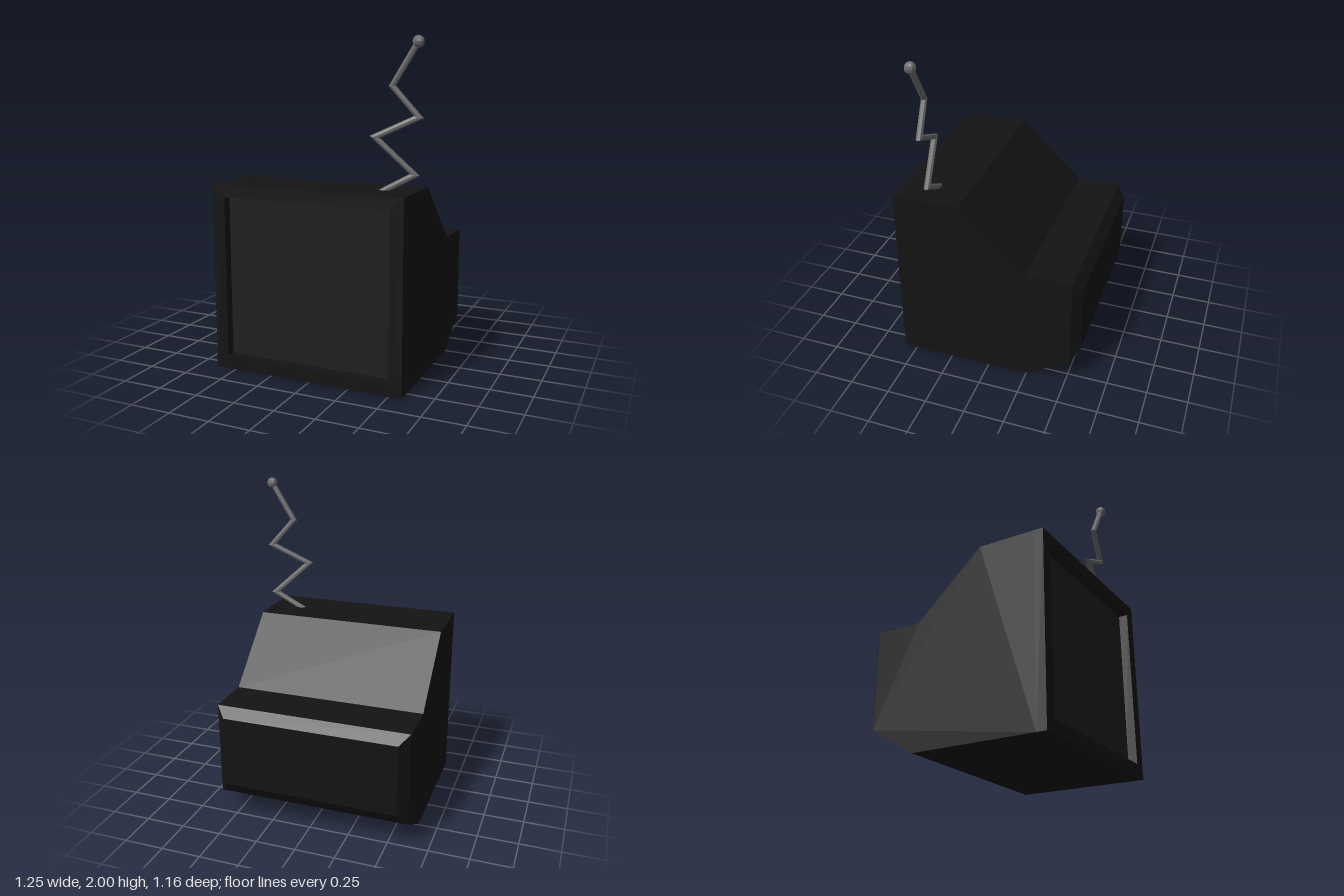
import * as THREE from 'three';

const X0 = -0.63, X1 = 0.58, WIDTH = X1 - X0, MID = (X0 + X1) / 2;
const TOP = 1.14, FRONT = 0.58, RECESS = 0.06;
const material = (color) => new THREE.MeshStandardMaterial({ color, flatShading: true });
const shapeOf = (pts) => new THREE.Shape(pts.map(([x, y]) => new THREE.Vector2(x, y)));

function addMesh(group, name, geometry, mat) {
  const mesh = new THREE.Mesh(geometry, mat);
  mesh.name = name;
  group.add(mesh);
  return mesh;
}

// Bent rod lying close to the xy plane, with mitred joints
function bentRod(points, radius, sides) {
  const normals = points.slice(1).map((p, i) =>
    new THREE.Vector2(points[i].y - p.y, p.x - points[i].x).normalize());
  const pos = [], index = [];
  points.forEach((p, i) => {
    const a = normals[Math.max(i - 1, 0)], b = normals[Math.min(i, normals.length - 1)];
    const m = a.clone().add(b).normalize();
    m.multiplyScalar(radius / m.dot(a));
    for (let k = 0; k < sides; k++) {
      const t = (k / sides) * Math.PI * 2, c = Math.cos(t);
      pos.push(p.x + m.x * c, p.y + m.y * c, p.z + radius * Math.sin(t));
      if (i === 0) continue;
      const n = (k + 1) % sides, lo = (i - 1) * sides, hi = i * sides;
      index.push(lo + k, hi + k, lo + n, lo + n, hi + k, hi + n);
    }
  });
  const g = new THREE.BufferGeometry();
  g.setAttribute('position', new THREE.Float32BufferAttribute(pos, 3));
  g.setIndex(index);
  g.computeVertexNormals();
  return g;
}

export function createModel() {
  const model = new THREE.Group();
  model.name = 'television';
  const casing = material(0x131313);
  const glass = material(0x1d1d1d);
  const metal = material(0x6a6a6a);
  metal.side = THREE.DoubleSide;

  // Casing: side profile (z, y) extruded across the width
  const face = FRONT - RECESS;
  const profile = shapeOf([
    [face, 0], [face, TOP], [0.17, TOP], [-0.24, 0.76],
    [-0.525, 0.76], [-0.525, 0.17], [-0.24, 0],
  ]);
  const body = new THREE.ExtrudeGeometry(profile, { depth: WIDTH, bevelEnabled: false });
  body.rotateY(-Math.PI / 2).translate(X1, 0, 0);
  addMesh(model, 'casing', body, casing);

  // Bevelled back panel: a box whose rear face is drawn in
  const back = new THREE.BoxGeometry(WIDTH, 0.59, 0.055);
  const p = back.attributes.position;
  for (let i = 0; i < p.count; i++) {
    if (p.getZ(i) > 0) continue;
    p.setX(i, p.getX(i) - Math.sign(p.getX(i)) * 0.06);
    p.setY(i, p.getY(i) + (p.getY(i) > 0 ? -0.06 : 0.08));
  }
  back.translate(MID, 0.465, -0.5525);
  back.computeVertexNormals();
  addMesh(model, 'backPanel', back, casing);

  // Front frame with an opening for the screen
  const frame = shapeOf([[X0, 0], [X1, 0], [X1, TOP], [X0, TOP]]);
  frame.holes.push(new THREE.Path(
    [[-0.55, 0.08], [-0.55, 1.065], [0.5, 1.065], [0.5, 0.08]].map(([x, y]) => new THREE.Vector2(x, y))));
  const frameGeo = new THREE.ExtrudeGeometry(frame, { depth: RECESS, bevelEnabled: false });
  frameGeo.translate(0, 0, face);
  addMesh(model, 'screenFrame', frameGeo, casing);

  // Recessed screen
  const screen = addMesh(model, 'screen', new THREE.PlaneGeometry(1.05, 0.985), glass);
  screen.position.set(MID, 0.5725, face + 0.004);

  // Crooked antenna with a ball on the tip
  const path = [
    [0.36, 1.125, 0.37], [0.562, 1.235, 0.357], [0.337, 1.443, 0.4],
    [0.587, 1.558, 0.373], [0.44, 1.727, 0.4], [0.587, 1.965, 0.397],
  ].map((q) => new THREE.Vector3(...q));
  const antenna = new THREE.Group();
  antenna.name = 'antenna';
  addMesh(antenna, 'antennaRod', bentRod(path, 0.018, 8), metal);
  const ball = addMesh(antenna, 'antennaBall', new THREE.SphereGeometry(0.035, 8, 6), metal);
  ball.position.copy(path[path.length - 1]);
  model.add(antenna);

  return model;
}
